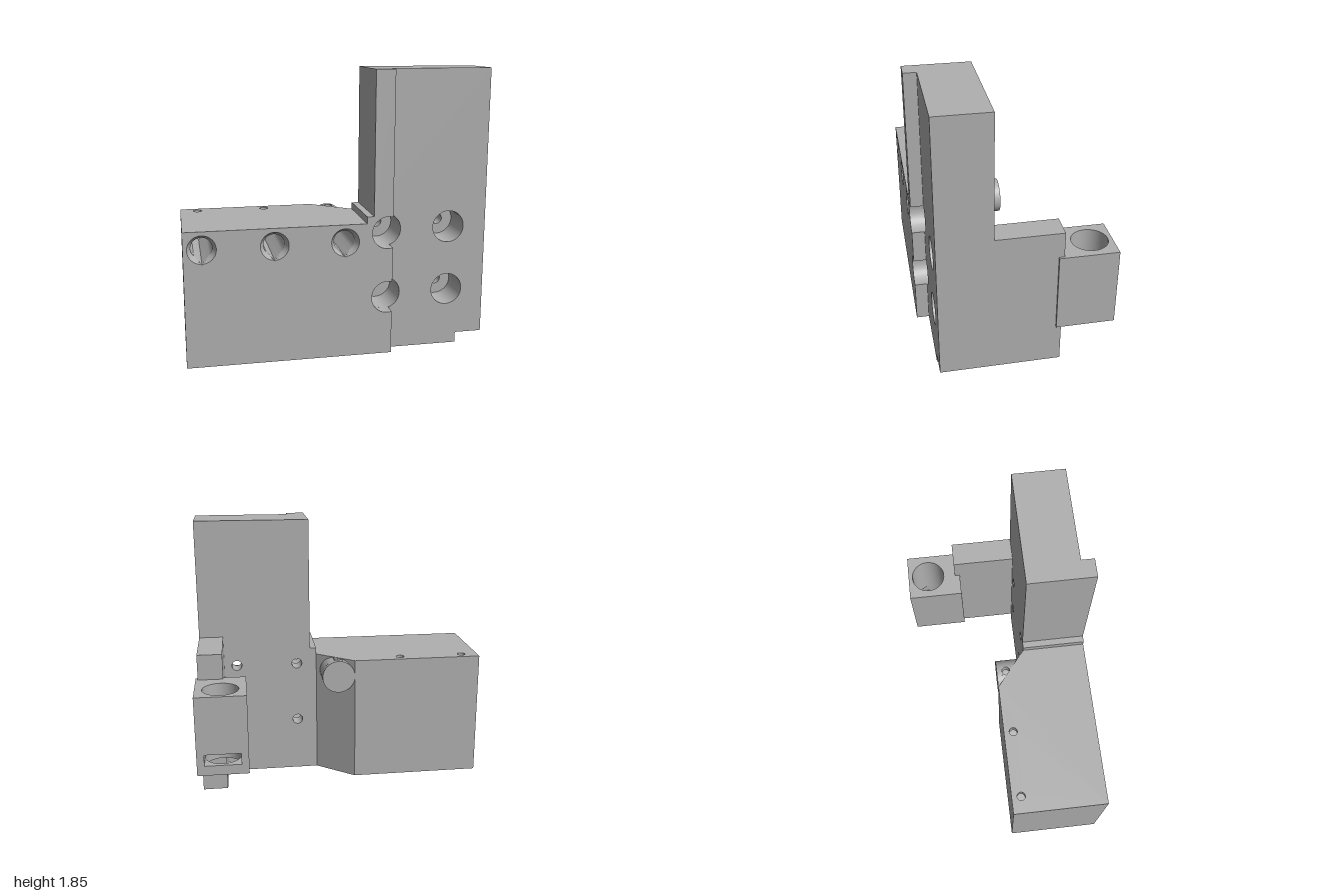
import * as THREE from 'three';
import { toCreasedNormals } from 'three/addons/utils/BufferGeometryUtils.js';

export function createModel() {
  const model = new THREE.Group();
  model.name = 'machinedBracket';
  const grey = new THREE.MeshStandardMaterial({ color: 0xb0b0b0 });
  grey.name = 'machined grey';

  const add = (name, geometry, parent = model) => {
    const mesh = new THREE.Mesh(geometry, grey);
    mesh.name = name;
    parent.add(mesh);
    return mesh;
  };
  const group = (name) => {
    const g = new THREE.Group();
    g.name = name;
    model.add(g);
    return g;
  };
  const polygon = (pts) => new THREE.Shape(pts.map(([x, y]) => new THREE.Vector2(x, y)));
  const circle = (x, y, r) => new THREE.Path().absarc(x, y, r, 0, Math.PI * 2, true);
  const extrude = (shape, depth) => toCreasedNormals(
    new THREE.ExtrudeGeometry(shape, { depth, bevelEnabled: false, curveSegments: 32 }), 0.5);

  // Upright plate: layers from back to front, with counterbored bolt holes
  const plate = group('uprightPlate');
  const boltX = [0.295, 0.725], boltY = [0.385, 0.815], boreR = 0.105;
  const plateOutline = [[0.155, 0], [0.8, 0], [0.8, 0.07], [0.98, 0.07], [0.98, 1.845],
    [0.2, 1.845], [0.2, 0.925], [0.155, 0.925]];
  for (const [name, z0, z1, r] of [['plateBack', 0.17, 0.29, 0.036], ['plateFront', 0.29, 0.52, boreR]]) {
    const shape = polygon(plateOutline);
    for (const x of boltX) for (const y of boltY) shape.holes.push(circle(x, y, r));
    add(name, extrude(shape, z1 - z0).translate(0, 0, z0), plate);
  }

  // Raised front rib, bitten by the two inner counterbores
  const rib = new THREE.Shape().moveTo(0.155, 0).lineTo(0.325, 0);
  const bite = Math.acos((0.325 - boltX[0]) / boreR);
  for (const y of boltY) rib.absarc(boltX[0], y, boreR, -bite, bite, true);
  for (const [x, y] of [[0.325, 1.845], [0.2, 1.845], [0.2, 0.925], [0.155, 0.925]]) rib.lineTo(x, y);
  add('frontRib', extrude(rib, 0.085).translate(0, 0, 0.52), plate);

  // Side block: outer skin with openings for the sockets
  const block = group('sideBlock');
  const sockets = [-0.885, -0.435, 0.015];
  const socketY = 0.765, socketR = 0.067, pinR = 0.028, pinZ = 0.03, top = 0.88, N = 64;

  // Teardrop section with its point down, optionally widened by a circular mouth
  const teardrop = (mouth) => Array.from({ length: N }, (_, i) => {
    const a = (i / N) * Math.PI * 2;
    const off = Math.abs(a - Math.PI * 1.5);
    const r = Math.max(mouth, off < Math.PI / 4 ? socketR / Math.cos(Math.PI / 4 - off) : socketR);
    return [r * Math.cos(a), r * Math.sin(a)];
  });
  const inner = teardrop(0), outer = teardrop(0.09);

  const front = polygon([[-1, 0], [0.155, 0], [0.155, top], [-1, top]]);
  for (const x of sockets) {
    front.holes.push(new THREE.Path(outer.map(([u, v]) => new THREE.Vector2(x + u, socketY + v))));
  }
  add('blockFront', new THREE.ShapeGeometry(front).translate(0, 0, 0.605), block);

  const plan = [[-1, 0.605], [0.155, 0.605], [0.155, 0.17], [-0.1, -0.035], [-1, -0.035]];
  const topShape = polygon(plan.map(([x, z]) => [x, -z]));
  for (const x of sockets.slice(0, 2)) topShape.holes.push(circle(x, -pinZ, pinR));
  add('blockTop', new THREE.ShapeGeometry(topShape, 24).rotateX(-Math.PI / 2).translate(0, top, 0), block);
  add('blockBottom', new THREE.ShapeGeometry(polygon(plan)).rotateX(Math.PI / 2), block);

  const wallPath = [plan[2], plan[3], plan[4], plan[0]];
  for (let i = 0; i < 3; i++) {
    const [x1, z1] = wallPath[i], [x2, z2] = wallPath[i + 1];
    const wall = new THREE.PlaneGeometry(Math.hypot(x2 - x1, z2 - z1), top);
    wall.rotateY(Math.atan2(z1 - z2, x2 - x1)).translate((x1 + x2) / 2, top / 2, (z1 + z2) / 2);
    add(['blockChamfer', 'blockBack', 'blockEnd'][i], wall, block);
  }

  // Socket lining: tapered mouth, teardrop bore, opening in the roof for the pin hole
  const rings = [[outer, 0.605], [inner, 0.56], [inner, 0.06], [inner, 0]];
  const positions = [], index = [];
  rings.forEach(([pts, z], j) => {
    for (let i = 0; i < N; i++) {
      positions.push(pts[i][0], pts[i][1], z);
      const roof = Math.abs(i + 0.5 - N / 4) < N * 0.075;
      if (j === 3 || (j === 2 && roof)) continue;
      const a = j * N + i, b = j * N + ((i + 1) % N);
      index.push(a, b, a + N, b, b + N, a + N);
    }
  });
  const lining = new THREE.BufferGeometry();
  lining.setAttribute('position', new THREE.Float32BufferAttribute(positions, 3));
  lining.setIndex(index);
  const liningGeometry = toCreasedNormals(lining, 0.4);
  const pinHole = new THREE.LatheGeometry(
    [new THREE.Vector2(pinR, top), new THREE.Vector2(pinR, 0.82)], 24);
  for (const x of sockets) {
    add('socketLining', liningGeometry, block).position.set(x, socketY, 0);
    add('socketEnd', new THREE.ShapeGeometry(polygon(inner)), block).position.set(x, socketY, 0);
    add('pinHole', pinHole, block).position.set(x, 0, pinZ);
  }

  // Round boss behind the last socket, opened on top for its pin hole
  const bossR = 0.115, gap = 0.265;
  for (const [z0, z1, g] of [[-0.035, 0, 0], [0, 0.06, gap], [0.06, 0.16, 0]]) {
    const tube = new THREE.CylinderGeometry(bossR, bossR, z1 - z0, 48, 1, true,
      Math.PI + g, Math.PI * 2 - 2 * g);
    add('boss', tube.rotateX(Math.PI / 2).translate(sockets[2], socketY, (z0 + z1) / 2), block);
  }
  add('bossEnd', new THREE.CircleGeometry(bossR, 48).rotateY(Math.PI)
    .translate(sockets[2], socketY, -0.035), block);
  const seat = polygon([[-0.03, -0.03], [0.03, -0.03], [0.03, 0.03], [-0.03, 0.03]]);
  seat.holes.push(circle(0, 0, pinR));
  add('bossPinSeat', new THREE.ShapeGeometry(seat, 24).rotateX(-Math.PI / 2)
    .translate(sockets[2], top, pinZ), block);

  // Rear arm
  add('rearArm', new THREE.BoxGeometry(0.165, 0.96, 0.43).translate(0.8975, 0.55, -0.045));

  // Rear holder: bored block with a slot through its back wall
  const holder = group('rearHolder');
  const bx = 0.83, bz = 0.46, br = 0.117;
  const bored = polygon([[0.665, 0.225], [0.995, 0.225], [0.995, 0.605], [0.665, 0.605]]);
  bored.holes.push(circle(bx, bz, br));
  const slotted = new THREE.Shape().moveTo(0.665, 0.225).lineTo(0.995, 0.225).lineTo(0.995, 0.605)
    .lineTo(bx + br, 0.605).absarc(bx, bz, br, 0, Math.PI, true)
    .lineTo(bx - br, 0.605).lineTo(0.665, 0.605);
  for (const [name, shape, y0, y1] of [['holderBase', bored, 0.335, 0.4],
    ['holderSlot', slotted, 0.4, 0.475], ['holderTop', bored, 0.475, 0.86]]) {
    add(name, extrude(shape, y1 - y0).rotateX(-Math.PI / 2).translate(0, y0, 0), holder);
  }

  return model;
}
